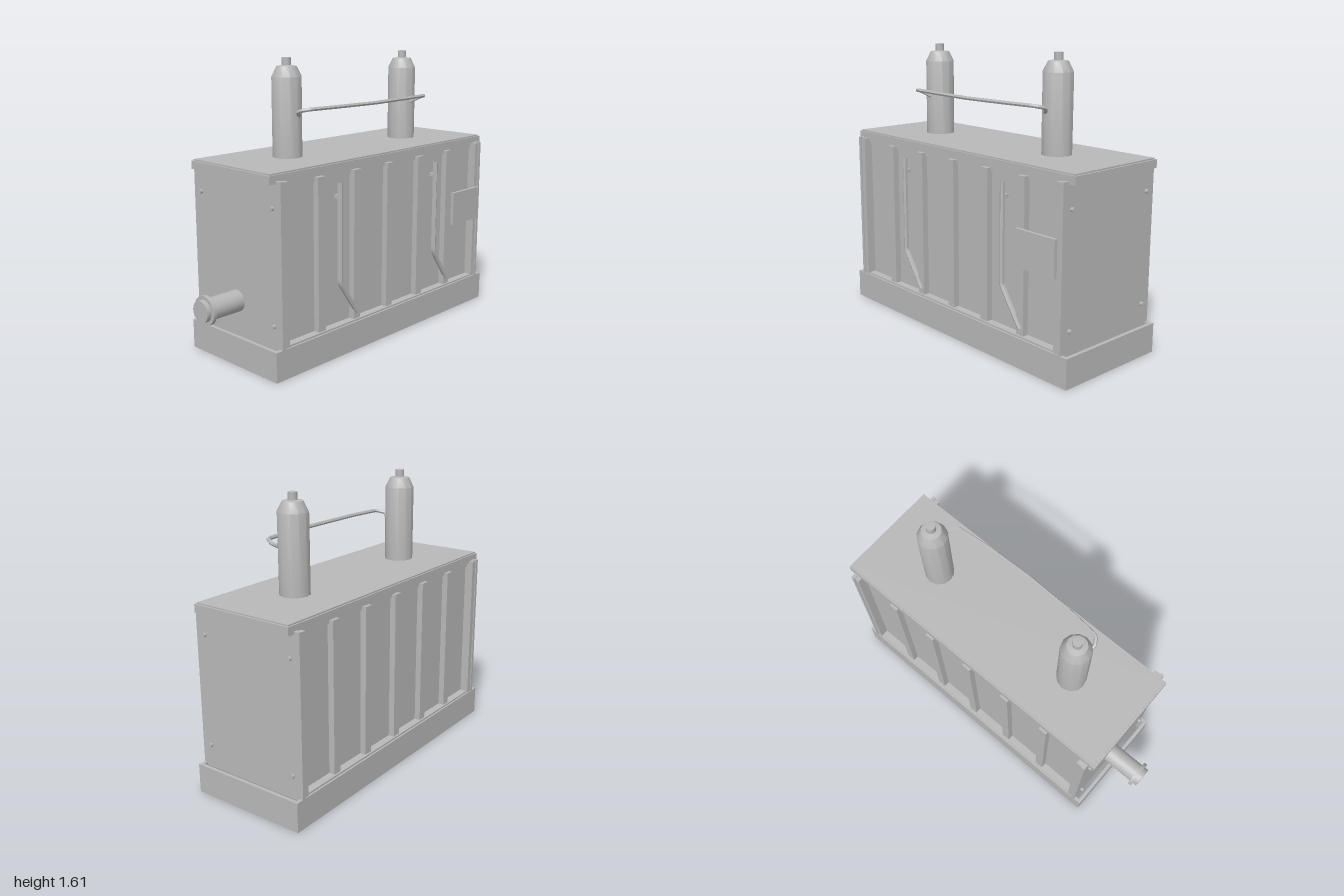
import * as THREE from 'three';
import { toCreasedNormals } from 'three/addons/utils/BufferGeometryUtils.js';

export function createModel() {
  const model = new THREE.Group();
  model.name = 'transformer';
  const steel = new THREE.MeshStandardMaterial({ color: 0xb8b8b8 });
  steel.name = 'grey steel';

  const add = (name, geo, x = 0, y = 0, z = 0) => {
    const m = new THREE.Mesh(geo, steel);
    m.name = name;
    m.position.set(x, y, z);
    model.add(m);
    return m;
  };
  // box given by its limits
  const block = (name, x0, x1, y0, y1, z0, z1) =>
    add(name, new THREE.BoxGeometry(x1 - x0, y1 - y0, z1 - z0), (x0 + x1) / 2, (y0 + y1) / 2, (z0 + z1) / 2);
  // turned part with crisp edges
  const turned = (points, sides) => toCreasedNormals(
    new THREE.LatheGeometry(points.map(p => new THREE.Vector2(...p)), sides), 0.6);
  // rod through straight segments
  const rod = (points, radius, sides) => {
    const path = new THREE.CurvePath();
    const v = points.map(p => new THREE.Vector3(...p));
    const curve = new THREE.CatmullRomCurve3(v, false, 'catmullrom', 0.02);
    curve.arcLengthDivisions = 400;
    path.add(curve);
    return toCreasedNormals(new THREE.TubeGeometry(curve, 60, radius, sides), 0.6);
  };

  // base skirt, open above and below
  block('baseFront', -0.8, 1, 0, 0.165, 0.315, 0.335);
  block('baseBack', -0.8, 1, 0, 0.165, -0.355, -0.335);
  block('baseRight', -0.8, -0.78, 0, 0.165, -0.335, 0.315);
  block('baseLeft', 0.98, 1, 0, 0.165, -0.335, 0.315);

  // tank body with recessed long sides and full-depth end plates
  block('tank', -0.74, 0.94, 0.15, 1.04, -0.3, 0.28);
  block('endPlateRight', -0.755, -0.735, 0.15, 1.04, -0.355, 0.335);
  block('endPlateLeft', 0.935, 0.955, 0.15, 1.04, -0.355, 0.335);

  // posts, ribs and rails on both long sides
  for (const s of [1, -1]) {
    const side = (name, x0, x1, y0, y1, depth) => {
      const a = -0.01 + s * 0.28, b = -0.01 + s * depth;
      block(name, x0, x1, y0, y1, Math.min(a, b), Math.max(a, b));
    };
    side('cornerPost', -0.75, -0.7, 0.16, 1.035, 0.34);
    side('cornerPost', 0.905, 0.95, 0.16, 1.035, 0.34);
    for (let i = 0; i < 5; i++) {
      const x = -0.45 + i * 0.275;
      side('rib', x - 0.026, x + 0.026, 0.16, 1.02, 0.325);
    }
    side('topRail', -0.75, 0.95, 1.0, 1.03, 0.3);
    side('bottomRail', -0.75, 0.95, 0.15, 0.175, 0.335);
  }

  // lid with turned-down lips
  block('lid', -0.785, 0.985, 1.06, 1.078, -0.315, 0.29);
  block('lidLipFront', -0.795, 0.995, 1.025, 1.07, 0.283, 0.298);
  block('lidLipBack', -0.795, 0.995, 1.025, 1.07, -0.323, -0.308);
  block('lidLipRight', -0.795, -0.78, 1.025, 1.07, -0.31, 0.285);
  block('lidLipLeft', 0.98, 0.995, 1.025, 1.07, -0.31, 0.285);

  // bushings
  const bushing = turned([[0.083, 1.07], [0.083, 1.51], [0.055, 1.565], [0.025, 1.57], [0.025, 1.61], [0, 1.61]], 12);
  for (const x of [-0.383, 0.582]) add('bushing', bushing, x, 0, -0.012);

  // wire joining the bushings
  const half = [[0.47, 1.305, 0.065], [0.515, 1.335, 0.11], [0.485, 1.347, 0.163], [0.28, 1.347, 0.184]];
  const wire = [...half.map(([x, y, z]) => [0.1 - x, y, z]), [0.1, 1.345, 0.193],
    ...half.slice().reverse().map(([x, y, z]) => [0.1 + x, y, z])];
  add('wire', rod(wire, 0.011, 6));

  // bent conduits on the front
  for (const x of [-0.312, 0.515]) {
    add('conduit', rod([[x, 0.97, 0.314], [x, 0.415, 0.314], [x + 0.14, 0.21, 0.314]], 0.014, 6));
    block('conduitClip', x - 0.01, x + 0.01, 0.88, 0.9, 0.27, 0.31);
  }

  // blank plate
  block('plate', 0.652, 0.925, 0.56, 0.76, 0.338, 0.356);

  // side outlet pipe with flange
  const pipe = add('outletPipe', turned([[0, 0], [0.06, 0], [0.06, 0.025], [0.08, 0.025], [0.08, 0.046],
    [0.06, 0.046], [0.06, 0.26]].reverse().map(([r, y]) => [r, 0.26 - y]), 20), -0.74, 0.348, -0.018);
  pipe.rotation.z = Math.PI / 2;

  // bolts on the end plates
  const bolt = new THREE.CylinderGeometry(0.012, 0.012, 0.03, 8);
  for (const x of [-0.757, 0.957]) for (const y of [0.28, 0.9]) for (const z of [-0.295, 0.275])
    add('bolt', bolt, x, y, z).rotation.z = Math.PI / 2;

  return model;
}
